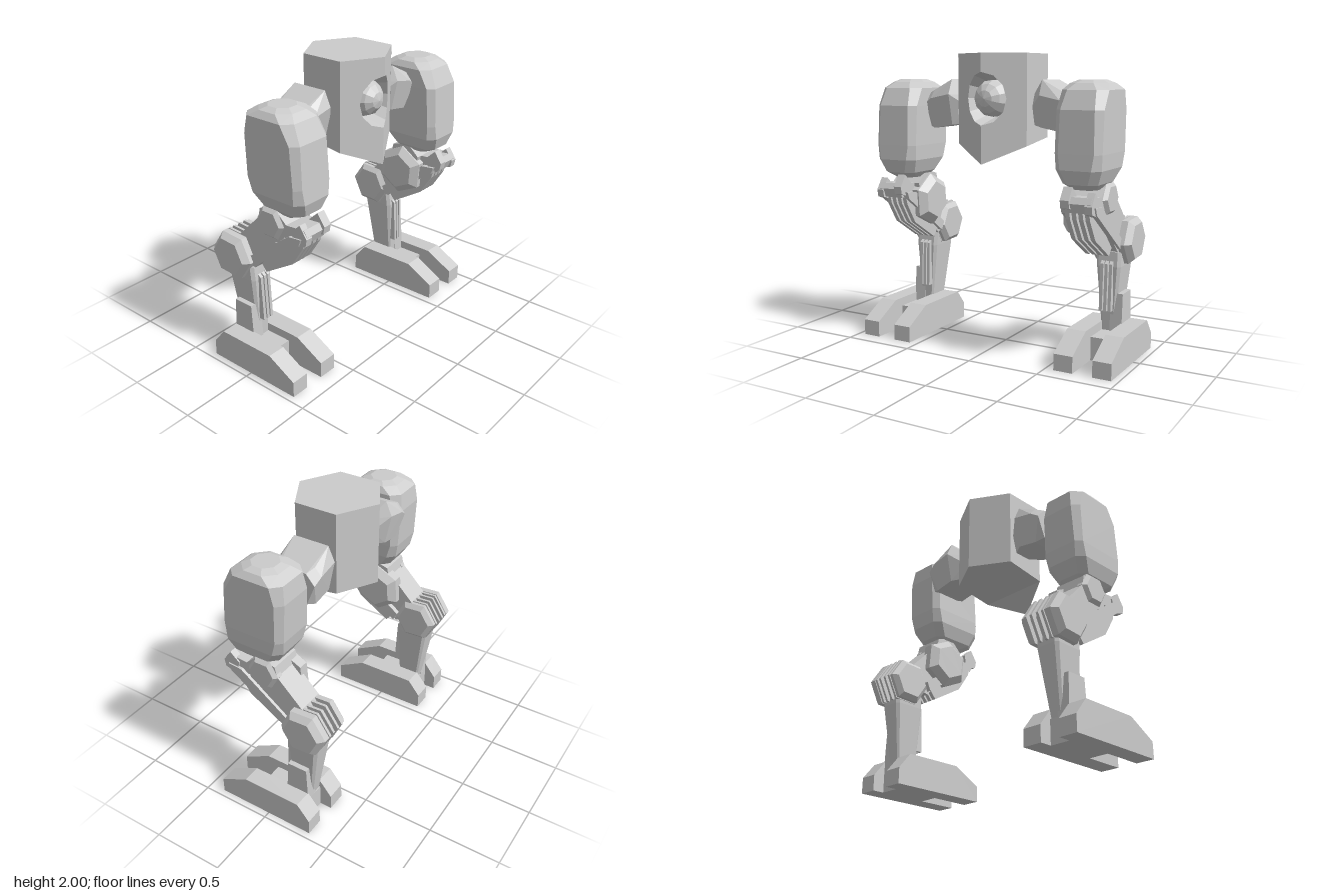
import * as THREE from 'three';
import { ConvexGeometry } from 'three/addons/geometries/ConvexGeometry.js';

const grey = new THREE.MeshStandardMaterial({ color: 0xcccccc, flatShading: true });
const greyOpen = new THREE.MeshStandardMaterial({ color: 0xcccccc, flatShading: true, side: THREE.DoubleSide });

function add(group, name, geometry, material = grey) {
  const mesh = new THREE.Mesh(geometry, material);
  mesh.name = name;
  group.add(mesh);
  return mesh;
}

const hull = (points) => new ConvexGeometry(points.map((p) => new THREE.Vector3(...p)));

// Side outline of [z, y] points, extruded from x0 to x1
const plate = (s, x0, x1, outline) =>
  hull(outline.flatMap(([z, y]) => [[s * x0, y, z], [s * x1, y, z]]));

// Six-sided disc lying along x, from [x, radius] rings
function hexDisc(s, y, z, tilt, rings) {
  const points = [];
  for (const [x, r] of rings) {
    for (let i = 0; i < 6; i++) {
      const a = tilt + (i * Math.PI) / 3;
      points.push([s * x, y + r * Math.sin(a), z + r * Math.cos(a)]);
    }
  }
  return hull(points);
}

// Horizontal section with cut corners
function section(s, [y, x0, x1, z0, z1, c]) {
  return [
    [x0 + c, z0], [x1 - c, z0], [x1, z0 + c], [x1, z1 - c],
    [x1 - c, z1], [x0 + c, z1], [x0, z1 - c], [x0, z0 + c],
  ].map(([x, z]) => [s * x, y, z]);
}

// Triangles from polygons, each cut as a fan
function fans(polygons) {
  const pos = [];
  for (const p of polygons) {
    for (let i = 1; i < p.length - 1; i++) pos.push(...p[0], ...p[i], ...p[i + 1]);
  }
  const g = new THREE.BufferGeometry();
  g.setAttribute('position', new THREE.Float32BufferAttribute(pos, 3));
  g.computeVertexNormals();
  return g;
}

function createBody() {
  const body = new THREE.Group();
  body.name = 'body';
  const front = (x) => 0.335 - 0.56 * Math.abs(x);
  const rim = [];
  for (let i = 0; i <= 6; i++) {
    const a = (i * Math.PI) / 6;
    rim.push([0.145 * Math.sin(a), 1.707 + 0.172 * Math.cos(a)]);
  }

  for (const s of [1, -1]) {
    // Front panel with half of the round opening
    const outline = [[0, 1.28], [0.26, 1.4], [0.26, 2], [0, 2], ...rim];
    const panel = new THREE.ShapeGeometry(new THREE.Shape(outline.map((p) => new THREE.Vector2(...p))));
    const pos = panel.attributes.position;
    for (let i = 0; i < pos.count; i++) {
      const x = pos.getX(i);
      pos.setXYZ(i, s * x, pos.getY(i), front(x));
    }
    panel.computeVertexNormals();
    add(body, 'frontPanel', panel, greyOpen);

    // Recess wall behind the opening
    const wall = [];
    for (let i = 0; i < 6; i++) {
      const [a, b] = [rim[i], rim[i + 1]];
      const inner = ([x, y]) => [s * x * 0.75, 1.707 + (y - 1.707) * 0.7, 0.13];
      wall.push([[s * a[0], a[1], front(a[0])], [s * b[0], b[1], front(b[0])], inner(b), inner(a)]);
    }
    add(body, 'socketWall', fans(wall), greyOpen);
  }

  // Sides, back, top and sloping underside
  const ring = [[0, 0.335, 1.28], [0.26, 0.19, 1.4], [0.26, -0.11, 1.44],
    [0, -0.26, 1.44], [-0.26, -0.11, 1.44], [-0.26, 0.19, 1.4]];
  const low = ring.map(([x, z, y]) => [x, y, z]);
  const high = ring.map(([x, z]) => [x, 2, z]);
  const shell = [high, [low[0], low[5], low[1]], [low[1], low[5], low[4], low[2]], [low[2], low[4], low[3]]];
  for (let i = 1; i < 5; i++) shell.push([low[i], low[i + 1], high[i + 1], high[i]]);
  add(body, 'bodyShell', fans(shell), greyOpen);

  const ball = add(body, 'frontBall', new THREE.SphereGeometry(0.125, 11, 7).rotateX(Math.PI / 2));
  ball.position.set(0, 1.707, 0.175);
  return body;
}

function createLeg(s) {
  const leg = new THREE.Group();
  leg.name = s > 0 ? 'leftLeg' : 'rightLeg';
  const part = (name, geometry) => add(leg, name, geometry);

  // Hip link: x, bottom, middle, top, half depth at top and middle
  const hip = [[0.24, 1.535, 1.64, 1.72, 0.05, 0.08], [0.345, 1.52, 1.73, 1.83, 0.125, 0.17],
    [0.49, 1.495, 1.7, 1.755, 0.125, 0.17], [0.55, 1.515, 1.66, 1.73, 0.1, 0.16]];
  part('hipLink', hull(hip.flatMap(([x, y0, y1, y2, h, m]) =>
    [[y0, h], [y1, m], [y2, h]].flatMap(([y, d]) => [[s * x, y, 0.015 + d], [s * x, y, 0.015 - d]]))));

  // Thigh armour: y, x range, z range, corner cut
  const thigh = [
    [1.83, 0.6, 0.77, 0.02, 0.19, 0.05],
    [1.81, 0.555, 0.815, -0.03, 0.24, 0.07],
    [1.77, 0.53, 0.845, -0.09, 0.29, 0.06],
    [1.65, 0.525, 0.845, -0.105, 0.345, 0.045],
    [1.38, 0.525, 0.845, -0.09, 0.36, 0.04],
    [1.28, 0.53, 0.84, -0.07, 0.365, 0.05],
    [1.19, 0.565, 0.805, -0.01, 0.335, 0.05],
    [1.15, 0.6, 0.77, 0.04, 0.26, 0.04],
  ];
  part('thighArmour', hull(thigh.flatMap((t) => section(s, t))));

  // Upper knee joint, with a wide bevelled hub inside and a small one outside
  part('kneeCore', hexDisc(s, 1.07, 0.09, 0.3, [[0.58, 0.13], [0.8, 0.13]]));
  part('innerKneeHub', hexDisc(s, 0.98, 0.07, 0.45, [[0.525, 0.13], [0.57, 0.185], [0.64, 0.185]]));
  part('outerKneeHub', hexDisc(s, 1.085, 0.085, 0, [[0.76, 0.115], [0.8, 0.115], [0.825, 0.09]]));

  // Knee guard
  const guard = [[0.4, 1.1], [0.345, 1.18], [0.28, 1.12], [0.3, 1.02], [0.39, 1.05]];
  part('kneeGuard', plate(s, 0.6, 0.66, guard));
  part('kneeGuard', plate(s, 0.76, 0.81, guard.map(([z, y]) => [z - 0.01, y - 0.03])));
  part('kneeBar', plate(s, 0.62, 0.8, [[0.385, 1.08], [0.36, 1.12], [0.1, 1.1], [0.1, 1.02], [0.36, 1.02]]));

  // Backward link with slats and side rods
  part('link', plate(s, 0.615, 0.8, [[0.12, 1.12], [0, 1.11], [-0.2, 0.91], [-0.28, 0.76], [-0.07, 0.71], [0.12, 0.9]]));
  for (let i = 0; i < 4; i++) {
    const x = 0.605 + i * 0.045;
    part('linkSlat', plate(s, x, x + 0.03, [[0.34, 1.04], [0.32, 0.97], [0.23, 0.83], [0.16, 0.82], [0, 0.69], [-0.06, 0.76], [0.1, 0.95]]));
  }
  for (const x of [0.785, 0.58]) {
    part('linkRod', plate(s, x, x + 0.035, [[0.35, 1.06], [0.33, 1.01], [-0.07, 0.73], [-0.1, 0.79], [0.25, 1.05]]));
  }

  // Rear joint: core, thin fins and bevelled caps
  const [jy, jz, tilt] = [0.765, -0.235, -0.06];
  part('rearJointCore', hexDisc(s, jy, jz, tilt, [[0.62, 0.13], [0.82, 0.13]]));
  for (const x of [0.64, 0.685, 0.735, 0.775]) {
    part('rearJointFin', hexDisc(s, jy, jz, tilt, [[x, 0.168], [x + 0.018, 0.168]]));
  }
  part('outerJointCap', hexDisc(s, jy, jz, tilt, [[0.8, 0.168], [0.845, 0.168], [0.885, 0.13]]));
  part('innerJointCap', hexDisc(s, jy, jz, tilt, [[0.64, 0.16], [0.615, 0.16], [0.585, 0.125]]));

  // Shin with front slats and ankle brace
  part('shin', hull([
    [0.7, 0.64, 0.815, -0.31, -0.09, 0.02], [0.6, 0.645, 0.815, -0.31, -0.08, 0.02],
    [0.36, 0.67, 0.795, -0.275, -0.085, 0.02], [0.14, 0.69, 0.775, -0.24, -0.09, 0.01],
  ].flatMap((t) => section(s, t))));
  for (let i = 0; i < 3; i++) {
    const x = 0.685 + i * 0.031;
    part('shinSlat', plate(s, x, x + 0.022, [[-0.06, 0.62], [-0.045, 0.3], [-0.1, 0.3], [-0.1, 0.65]]));
  }
  part('ankleBrace', plate(s, 0.75, 0.835, [[-0.095, 0.42], [-0.24, 0.42], [-0.25, 0.15], [-0.08, 0.15]]));

  // Foot: two long runners joined by a low web
  const runner = [[0.385, 0], [0.385, 0.11], [0.18, 0.22], [-0.245, 0.22], [-0.335, 0.11], [-0.335, 0]];
  part('footRunner', plate(s, 0.56, 0.692, runner));
  part('footRunner', plate(s, 0.828, 0.955, runner));
  part('footWeb', plate(s, 0.69, 0.83, [[0.1, 0], [0.1, 0.16], [-0.25, 0.16], [-0.25, 0]]));
  return leg;
}

export function createModel() {
  const model = new THREE.Group();
  model.name = 'walkerLegs';
  model.add(createBody(), createLeg(1), createLeg(-1));
  return model;
}
